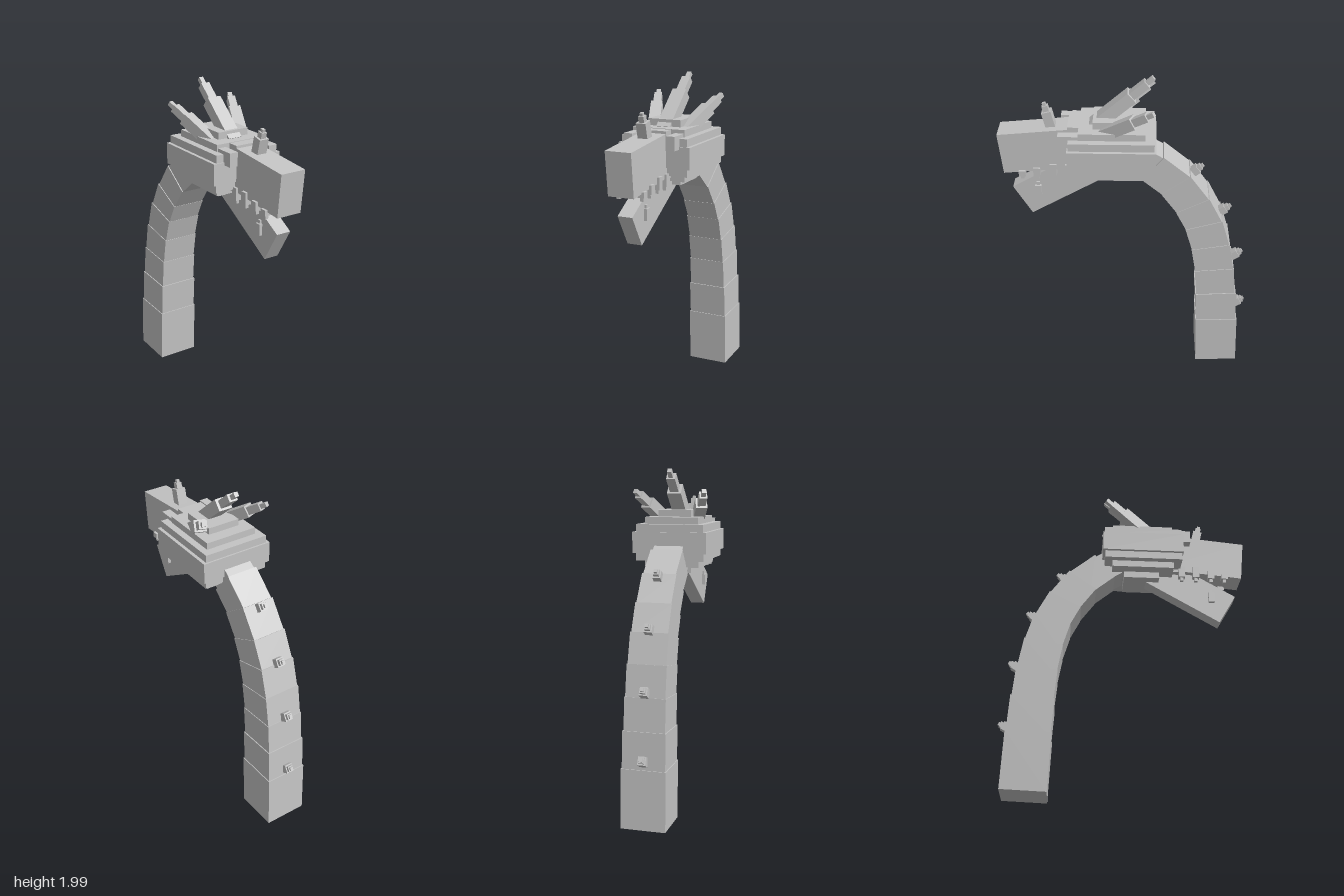
import * as THREE from 'three';

export function createModel() {
  const root = new THREE.Group();
  root.name = 'dragonHeadAndNeck';
  const grey = new THREE.MeshStandardMaterial({ name: 'stone grey', color: 0xc4c4c4 });
  const v = (a) => new THREE.Vector3(...a);

  // Upright box given by its extents
  function block(name, [x0, x1], [y0, y1], [z0, z1], parent = root) {
    const m = new THREE.Mesh(new THREE.BoxGeometry(x1 - x0, y1 - y0, z1 - z0), grey);
    m.position.set((x0 + x1) / 2, (y0 + y1) / 2, (z0 + z1) / 2);
    m.name = name;
    parent.add(m);
  }

  // Box running along the line from p to q, w wide and h thick
  function beam(name, p, q, w, h, parent = root) {
    const a = v(p), b = v(q);
    const m = new THREE.Mesh(new THREE.BoxGeometry(w, h, a.distanceTo(b)), grey);
    m.position.copy(a).add(b).multiplyScalar(0.5);
    m.lookAt(b);
    m.name = name;
    parent.add(m);
  }

  // Spike of stepped boxes: each step is [fraction along the axis, width, thickness]
  function spike(name, p, q, steps) {
    const g = new THREE.Group();
    g.name = name;
    let from = 0;
    for (const [to, w, h] of steps) {
      const at = (t) => v(p).lerp(v(q), t).toArray();
      beam(name + 'Step', at(from), at(to), w, h, g);
      from = to;
    }
    root.add(g);
  }

  // Neck: overlapping boxes along a curve, narrowing upwards
  const neck = [[0.008, -0.578], [0.34, -0.564], [0.55, -0.55], [0.735, -0.532], [0.905, -0.502],
    [1.063, -0.455], [1.2, -0.385], [1.34, -0.283], [1.45, -0.15], [1.53, -0.02]];
  const widths = [0.26, 0.25, 0.238, 0.23, 0.222, 0.212, 0.203, 0.192, 0.175];
  widths.forEach((w, i) => {
    const p = v([0, ...neck[i]]), q = v([0, ...neck[i + 1]]);
    const over = q.clone().sub(p).setLength(0.012);
    if (i > 0) p.sub(over);
    beam('neckSegment', p.toArray(), q.add(over).toArray(), w, w + 0.004);
  });

  // Spikes down the back of the neck
  for (const [p, q] of [
    [[0, 1.36, -0.34], [0, 1.435, -0.435]],
    [[0, 1.09, -0.515], [0, 1.155, -0.613]],
    [[0, 0.765, -0.62], [0, 0.82, -0.705]],
    [[0, 0.39, -0.665], [0, 0.435, -0.742]],
  ]) spike('neckSpike', p, q, [[0.7, 0.046, 0.05], [0.88, 0.032, 0.034], [1, 0.018, 0.02]]);

  // Skull: stacked slabs, widest in the middle
  for (const [x, y, z] of [
    [0.1, [1.38, 1.42], [-0.02, 0.2]],
    [0.165, [1.42, 1.46], [-0.095, 0.285]],
    [0.205, [1.46, 1.505], [-0.143, 0.335]],
    [0.223, [1.505, 1.63], [-0.157, 0.342]],
    [0.203, [1.63, 1.675], [-0.147, 0.335]],
    [0.162, [1.675, 1.715], [-0.095, 0.28]],
    [0.1, [1.715, 1.755], [-0.02, 0.2]],
  ]) block('skullSlab', [-x, x], y, z);

  // Upper snout, its bridge and the lower jaw
  beam('upperSnout', [0, 1.585, 0.2], [0, 1.535, 0.734], 0.156, 0.25);
  block('snoutBridge', [-0.079, 0.079], [1.44, 1.712], [0.2, 0.345]);
  beam('lowerJaw', [0, 1.53, 0.07], [0, 1.205, 0.63], 0.09, 0.21);

  // Nose horn and crown horn
  spike('noseHorn', [0, 1.66, 0.437], [0, 1.827, 0.477],
    [[0.7, 0.06, 0.055], [0.9, 0.034, 0.034], [1, 0.018, 0.02]]);
  spike('crownHorn', [0, 1.69, 0.2], [0, 1.985, -0.138],
    [[0.64, 0.086, 0.072], [0.89, 0.054, 0.046], [1, 0.026, 0.026]]);

  // Paired parts
  for (const s of [-1, 1]) {
    block('brow', s > 0 ? [0.105, 0.157] : [-0.157, -0.105], [1.615, 1.695], [0.2, 0.395]);
    spike('sideHorn', [s * 0.1, 1.685, 0.14], [s * 0.207, 1.868, -0.14],
      [[0.62, 0.068, 0.068], [0.88, 0.046, 0.046], [1, 0.026, 0.026]]);

    // Upper teeth: z, top, bottom
    for (const [z, top, low] of [[0.615, 1.43, 1.375], [0.53, 1.45, 1.375],
      [0.435, 1.475, 1.38], [0.345, 1.475, 1.38]]) {
      const x = s * 0.073, tip = low + 0.022;
      block('upperTooth', [x - 0.02, x + 0.02], [tip, top], [z - 0.02, z + 0.02]);
      block('upperToothTip', [x - 0.01, x + 0.01], [low, tip], [z - 0.01, z + 0.01]);
    }

    // Lower fang
    const x = s * 0.046;
    block('lowerFang', [x - 0.018, x + 0.018], [1.248, 1.315], [0.513, 0.55]);
    block('lowerFangTip', [x - 0.01, x + 0.01], [1.315, 1.335], [0.522, 0.541]);
  }
  return root;
}
